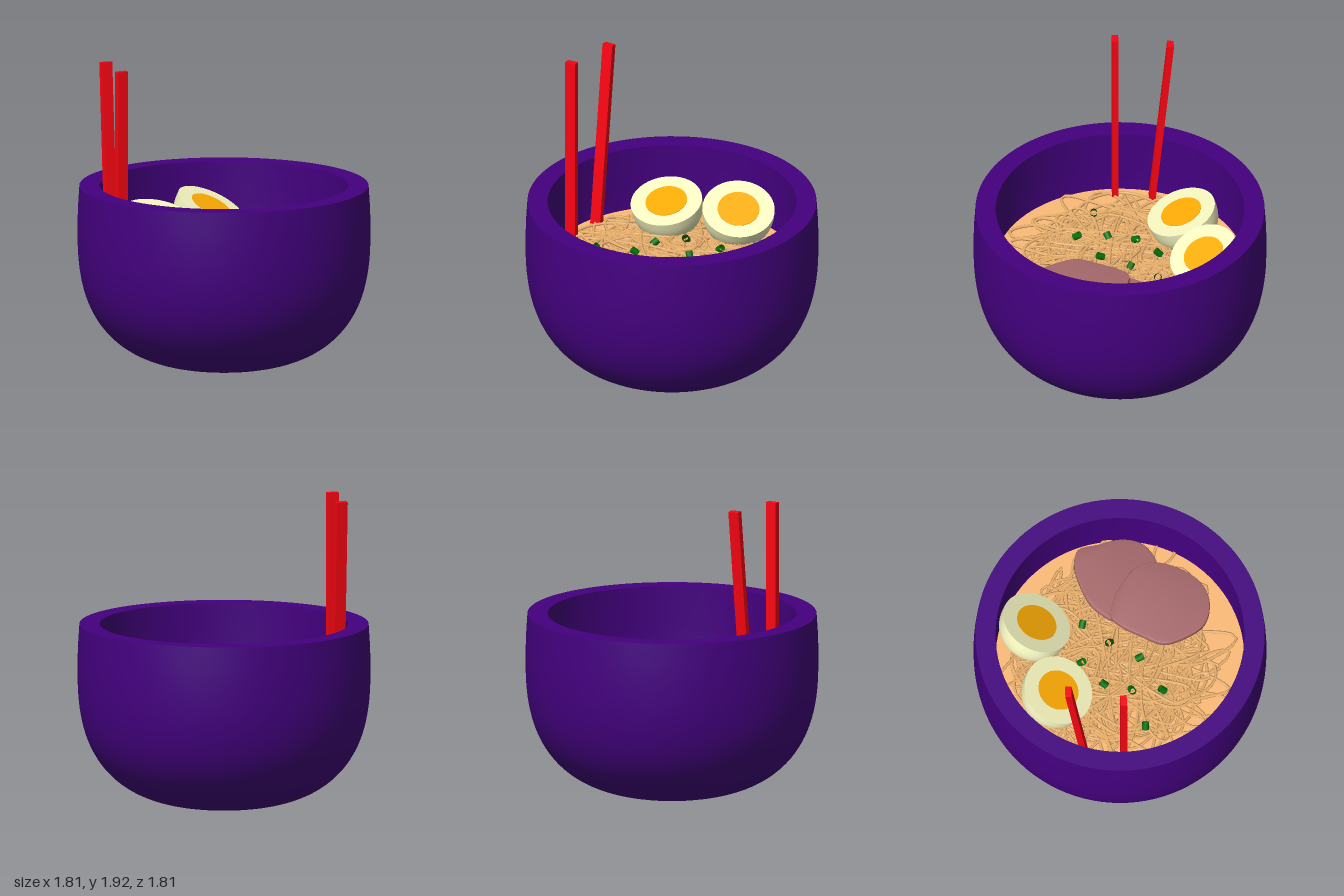
import * as THREE from 'three';
import { toCreasedNormals } from 'three/addons/utils/BufferGeometryUtils.js';

const CX = 0.09;      // bowl axis
const BROTH_Y = 0.72;

const paint = (color, side = THREE.FrontSide) => new THREE.MeshStandardMaterial({ color, side });
const mats = {
  bowl: paint(0x440080), broth: paint(0xfcbc78), noodle: paint(0xf2b670),
  stick: paint(0xfa0412), white: paint(0xf6f6c0), yolk: paint(0xffac04),
  meat: paint(0xa86a6c), onion: paint(0x067008, THREE.DoubleSide),
};

function add(parent, name, geometry, material, x = 0, y = 0, z = 0) {
  const mesh = new THREE.Mesh(geometry, material);
  mesh.name = name;
  mesh.position.set(x, y, z);
  parent.add(mesh);
  return mesh;
}

function seeded(seed) {
  return () => {
    seed = (seed * 1664525 + 1013904223) % 4294967296;
    return seed / 4294967296;
  };
}

// Rounded quarter profile rising from the axis to the widest point
function quarter(radius, bottom, top, power, steps = 32) {
  const pts = [];
  for (let i = 0; i <= steps; i++) {
    const a = (i / steps) * Math.PI / 2;
    pts.push(new THREE.Vector2(
      radius * Math.pow(Math.sin(a), 2 / power),
      top - (top - bottom) * Math.pow(Math.max(0, Math.cos(a)), 2 / power)));
  }
  return pts;
}

function makeBowl() {
  const outer = quarter(0.907, 0, 0.88, 2.7);
  const inner = quarter(0.775, 0.13, 0.88, 2.7).reverse();
  const profile = [...outer, new THREE.Vector2(0.904, 1.0), new THREE.Vector2(0.895, 1.14),
    new THREE.Vector2(0.77, 1.14), ...inner];
  return toCreasedNormals(new THREE.LatheGeometry(profile, 96), 0.7);
}

// Long looping strands wandering over the broth, heaped towards the middle
function makeNoodles() {
  const group = new THREE.Group();
  group.name = 'noodles';
  const rand = seeded(11);
  for (let s = 0; s < 14; s++) {
    const pts = [];
    for (let i = 0; i < 26; i++) {
      const a = rand() * Math.PI * 2;
      const r = 0.68 * Math.pow(rand(), 0.65);
      const y = BROTH_Y + 0.003 + 0.035 * rand() * (1 - r);
      pts.push(new THREE.Vector3(CX + 0.01 + r * Math.cos(a), y, -0.03 + r * Math.sin(a) * 0.95));
    }
    const path = new THREE.CatmullRomCurve3(pts, true, 'catmullrom', 0.85);
    add(group, 'noodleStrand', new THREE.TubeGeometry(path, 360, 0.01, 5, true), mats.noodle);
  }
  return group;
}

// Half egg: cut face up, then leaned towards a horizontal direction
function makeHalfEgg(x, y, z, yaw, lean) {
  const egg = new THREE.Group();
  egg.name = 'halfEgg';
  const profile = [...quarter(0.22, -0.21, 0, 2.8, 16), new THREE.Vector2(0, 0)];
  const body = add(egg, 'eggWhite', toCreasedNormals(new THREE.LatheGeometry(profile, 48), 0.7), mats.white);
  body.scale.x = 1.02;
  add(egg, 'yolk', new THREE.CylinderGeometry(0.13, 0.13, 0.006, 40), mats.yolk);
  egg.position.set(x, y, z);
  egg.rotation.set(lean, yaw, 0, 'YXZ');
  return egg;
}

// Meat slice from an outline of [x, z] pairs, tilted about its own centre
function makeSlice(outline, x, y, z, tiltX, tiltZ) {
  const curve = new THREE.CatmullRomCurve3(
    outline.map(([px, pz]) => new THREE.Vector3(px - x, z - pz, 0)), true);
  const shape = new THREE.Shape(curve.getPoints(64).slice(0, -1).map(p => new THREE.Vector2(p.x, p.y)));
  const geo = new THREE.ExtrudeGeometry(shape, {
    depth: 0.03, bevelThickness: 0.008, bevelSize: 0.008, bevelOffset: -0.008, bevelSegments: 2 });
  geo.rotateX(-Math.PI / 2);
  const mesh = new THREE.Mesh(toCreasedNormals(geo, 0.6), mats.meat);
  mesh.name = 'meatSlice';
  mesh.position.set(x, y, z);
  mesh.rotation.set(tiltX, 0, tiltZ);
  return mesh;
}

// Square-cut stick between two points, wide face kept upright
function makeChopstick(top, foot) {
  const axis = top.clone().sub(foot);
  const length = axis.length();
  axis.normalize();
  const side = new THREE.Vector3().crossVectors(axis, new THREE.Vector3(0, 1, 0)).normalize();
  const wide = new THREE.Vector3().crossVectors(axis, side);
  const mesh = new THREE.Mesh(new THREE.BoxGeometry(0.07, length, 0.04), mats.stick);
  mesh.name = 'chopstick';
  mesh.quaternion.setFromRotationMatrix(new THREE.Matrix4().makeBasis(wide, axis, side.negate()));
  mesh.position.copy(top).add(foot).multiplyScalar(0.5);
  return mesh;
}

export function createModel() {
  const model = new THREE.Group();
  model.name = 'noodleBowl';

  add(model, 'bowl', makeBowl(), mats.bowl, CX, 0, 0);
  add(model, 'broth', new THREE.CylinderGeometry(0.77, 0.765, 0.03, 96), mats.broth, CX, BROTH_Y - 0.015, 0);
  model.add(makeNoodles());

  // Eggs
  model.add(makeHalfEgg(-0.165, 0.905, -0.397, 0.05, 0.32));
  model.add(makeHalfEgg(0.285, 0.91, -0.505, 0.6, 0.46));

  // Meat slices, the front one overlapping the back one
  model.add(makeSlice([[0.3, 0.05], [0.4, -0.14], [0.55, -0.22], [0.7, -0.25], [0.79, -0.22], [0.82, -0.1],
    [0.85, 0.06], [0.81, 0.19], [0.67, 0.27], [0.45, 0.25]], 0.58, 0.745, 0, 0.07, 0.0));
  model.add(makeSlice([[0.33, -0.04], [0.41, -0.03], [0.52, 0.02], [0.64, 0.12], [0.68, 0.23], [0.62, 0.42],
    [0.51, 0.54], [0.38, 0.575], [0.25, 0.53], [0.17, 0.4], [0.14, 0.27], [0.2, 0.14], [0.27, 0.02]],
    0.42, 0.77, 0.29, 0.02, 0.0));

  // Chopped spring onion rings
  const onions = [[0.06, -0.24], [0.31, -0.22], [-0.09, -0.11], [0.18, -0.06],
    [-0.14, 0.06], [0.07, 0.12], [-0.38, 0.13], [-0.15, 0.25]];
  onions.forEach(([x, z], i) => {
    const ring = add(model, 'springOnion',
      new THREE.CylinderGeometry(0.022, 0.022, 0.045, 10, 1, true), mats.onion, x, 0.765, z);
    ring.rotation.set(0.7 + 0.2 * (i % 3), i * 1.3, 0, 'YXZ');
  });

  // Chopsticks
  const v = (x, y, z) => new THREE.Vector3(x, y, z);
  model.add(makeChopstick(v(-0.97, 1.833, -0.02), v(-0.285, 0.61, -0.02)));
  model.add(makeChopstick(v(-0.88, 1.835, -0.425), v(-0.245, 0.61, -0.16)));
  return model;
}
